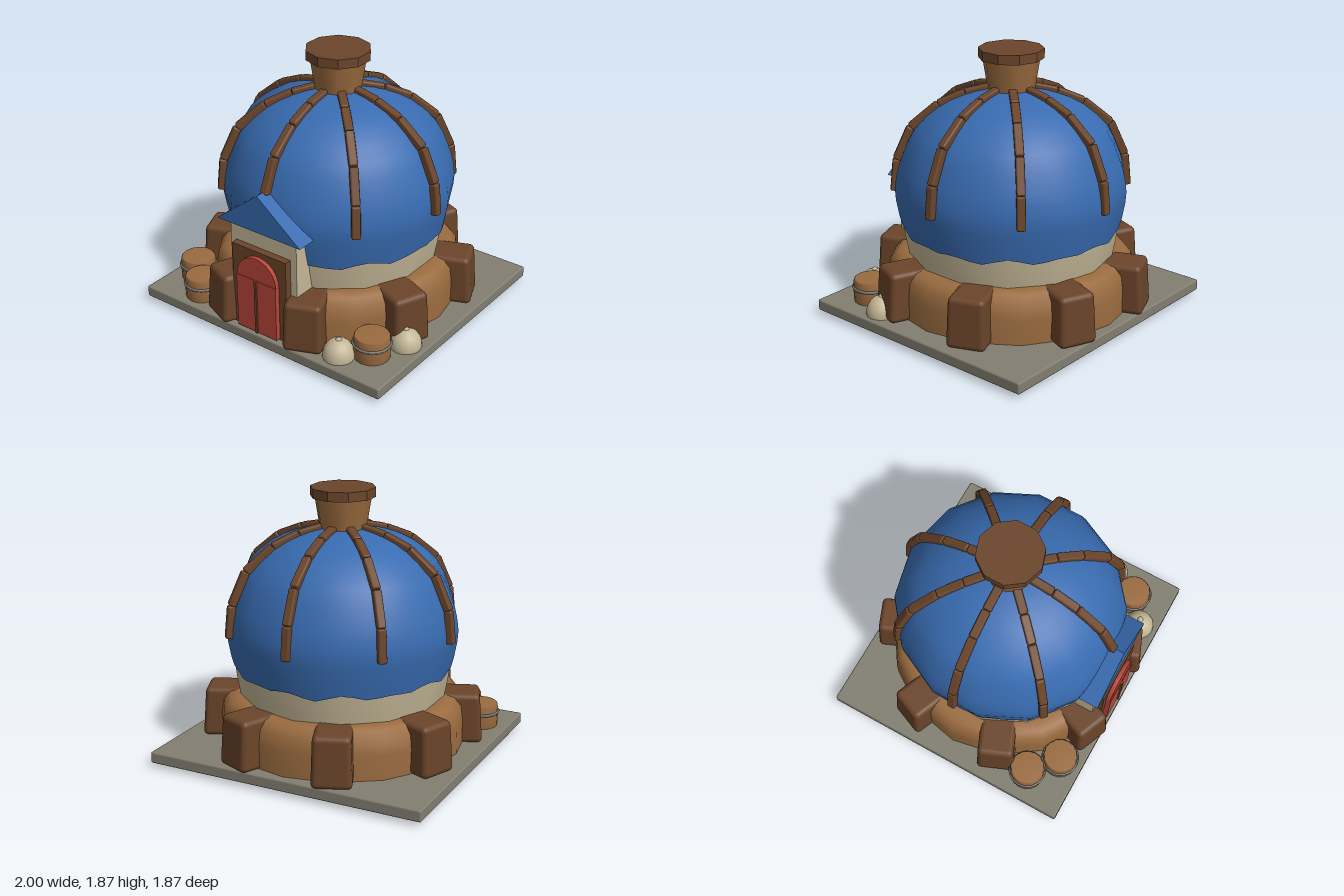
import * as THREE from 'three';
import { RoundedBoxGeometry } from 'three/addons/geometries/RoundedBoxGeometry.js';

const mat = (name, color) => Object.assign(new THREE.MeshStandardMaterial({ color }), { name });

export function createModel() {
  const model = new THREE.Group();
  model.name = 'domeHouse';
  const stone = mat('stone', 0x827e71);
  const blue = mat('blueRoof', 0x386bb0);
  const darkWood = mat('darkWood', 0x6b452a);
  const wood = mat('wood', 0x9a6b3f);
  const plaster = mat('plaster', 0xc4b797);
  const red = mat('redDoor', 0xb8453a);
  const metal = mat('metalBand', 0x74797c);

  const add = (name, geo, material, x = 0, y = 0, z = 0, parent = model) => {
    const m = new THREE.Mesh(geo, material);
    m.name = name;
    m.position.set(x, y, z);
    parent.add(m);
    return m;
  };
  const vec = (pts) => pts.map(([x, y]) => new THREE.Vector2(x, y));
  const flat = (geo) => {
    const g = geo.toNonIndexed();
    g.computeVertexNormals();
    return g;
  };

  // Ground slab
  add('groundSlab', new RoundedBoxGeometry(2, 0.08, 1.83, 2, 0.012), stone, 0, 0.07, 0);

  // Foundation ring
  const ring = vec([[0.86, 0.1], [0.86, 0.28], [0.845, 0.38], [0.8, 0.435], [0.74, 0.45], [0.66, 0.45]]);
  add('foundationRing', new THREE.LatheGeometry(ring, 16), wood);

  // Round plaster wall
  const wall = vec([[0.705, 0.4], [0.72, 0.48], [0.738, 0.58], [0.748, 0.66], [0.76, 0.72]]);
  add('wall', new THREE.LatheGeometry(wall, 14), plaster);

  // Fourteen-sided dome with a ragged hem
  const domeProfile = new THREE.SplineCurve(vec([
    [0.756, 0.64], [0.798, 0.87], [0.79, 1.0], [0.755, 1.13], [0.66, 1.33],
    [0.475, 1.49], [0.28, 1.57], [0.12, 1.6], [0, 1.605],
  ])).getPoints(18);
  domeProfile[domeProfile.length - 1].x = 0;
  const sides = 14, segs = sides * 4, rows = domeProfile.length;
  const dome = new THREE.LatheGeometry(domeProfile, segs);
  const p = dome.attributes.position;
  for (let i = 0; i <= segs; i++) {
    const half = Math.PI / sides;
    const local = ((i % 4) / 4) * 2 * half - half;
    const f = Math.cos(half) / Math.cos(local);
    const a = (i / segs) * Math.PI * 2;
    for (let j = 0; j < rows; j++) {
      const k = i * rows + j;
      p.setX(k, p.getX(k) * f);
      p.setZ(k, p.getZ(k) * f);
      if (j === 0) p.setY(k, 0.638 + 0.016 * Math.cos(a * 14) + 0.01 * Math.sin(a * 9));
    }
  }
  add('dome', dome, blue);

  // Dome ribs, each a chain of short beams
  const ribPath = [[0.8, 0.885], [0.778, 1.11], [0.678, 1.335], [0.49, 1.49], [0.31, 1.565], [0.1, 1.61]];
  for (let k = 0; k < 8; k++) {
    const rib = new THREE.Group();
    rib.name = 'domeRib';
    rib.rotation.y = (k * Math.PI) / 4;
    for (let i = 0; i < ribPath.length - 1; i++) {
      const [r0, y0] = ribPath[i], [r1, y1] = ribPath[i + 1];
      const len = Math.hypot(r1 - r0, y1 - y0);
      const beam = add('ribBeam', new RoundedBoxGeometry(0.058, len, 0.055, 1, 0.012), darkWood,
        0, (y0 + y1) / 2, (r0 + r1) / 2, rib);
      beam.rotation.x = Math.atan2(r1 - r0, y1 - y0);
    }
    model.add(rib);
  }

  // Chimney and cap
  add('chimney', new THREE.CylinderGeometry(0.195, 0.155, 0.25, 10), wood, 0, 1.685, 0);
  add('chimneyCap', flat(new THREE.CylinderGeometry(0.222, 0.222, 0.065, 10)), darkWood, 0, 1.835, 0);

  // Buttresses, wider toward the ground
  const buttress = new RoundedBoxGeometry(0.26, 0.35, 0.29, 3, 0.035);
  const b = buttress.attributes.position;
  for (let i = 0; i < b.count; i++) {
    const t = b.getY(i) / 0.35 + 0.5;
    b.setX(i, b.getX(i) * (1.04 - 0.08 * t));
    b.setZ(i, b.getZ(i) + 0.012 - 0.024 * t);
  }
  for (let k = 0; k < 8; k++) {
    const a = ((k + 0.5) * Math.PI) / 4;
    add('buttress', buttress, darkWood, Math.sin(a) * 0.815, 0.28, Math.cos(a) * 0.815).rotation.y = a;
  }

  // Porch walls and gable roof
  add('porchWall', new THREE.BoxGeometry(0.55, 0.765, 0.31), plaster, 0, 0.4875, 0.655);
  const gable = new THREE.Shape(vec([[-0.345, 0.865], [0.345, 0.865], [0, 1.135]]));
  add('porchRoof', new THREE.ExtrudeGeometry(gable, { depth: 0.31, bevelEnabled: false }), blue, 0, 0, 0.55);

  // Arched double door
  add('doorFrame', new THREE.BoxGeometry(0.45, 0.61, 0.06), darkWood, 0, 0.415, 0.83);
  const arch = new THREE.Shape();
  arch.moveTo(-0.165, 0.5);
  arch.lineTo(0.165, 0.5);
  arch.lineTo(0.165, 0.52);
  arch.absarc(0, 0.52, 0.165, 0, Math.PI, false);
  add('doorArch', new THREE.ExtrudeGeometry(arch, { depth: 0.035, bevelEnabled: false, curveSegments: 8 }),
    red, 0, 0, 0.855);
  for (const s of [-1, 1]) {
    add('doorLeaf', new THREE.BoxGeometry(0.165, 0.4, 0.04), red, s * 0.083, 0.32, 0.876);
  }
  add('doorStrip', new THREE.BoxGeometry(0.018, 0.4, 0.03), darkWood, 0, 0.32, 0.892);

  // Barrels with a metal band
  const staves = vec([[0, 0.02], [0.1, 0.02], [0.122, 0.11], [0.126, 0.2], [0.12, 0.268], [0.112, 0.276], [0, 0.276]]);
  for (const [x, z] of [[-0.805, 0.585], [-0.615, 0.75], [0.75, 0.635]]) {
    const barrel = new THREE.Group();
    barrel.name = 'barrel';
    barrel.position.set(x, 0, z);
    add('barrelBody', new THREE.LatheGeometry(staves, 16), wood, 0, 0, 0, barrel);
    add('barrelBand', new THREE.TorusGeometry(0.124, 0.011, 6, 20), metal, 0, 0.213, 0, barrel).rotation.x = Math.PI / 2;
    model.add(barrel);
  }

  // Sacks with a tied knot
  for (const [x, z] of [[0.585, 0.775], [0.865, 0.415]]) {
    add('sack', new THREE.SphereGeometry(0.108, 16, 12), plaster, x, 0.122, z).scale.y = 1.13;
    add('sackKnot', new THREE.SphereGeometry(0.024, 8, 6), plaster, x, 0.232, z);
  }

  return model;
}
